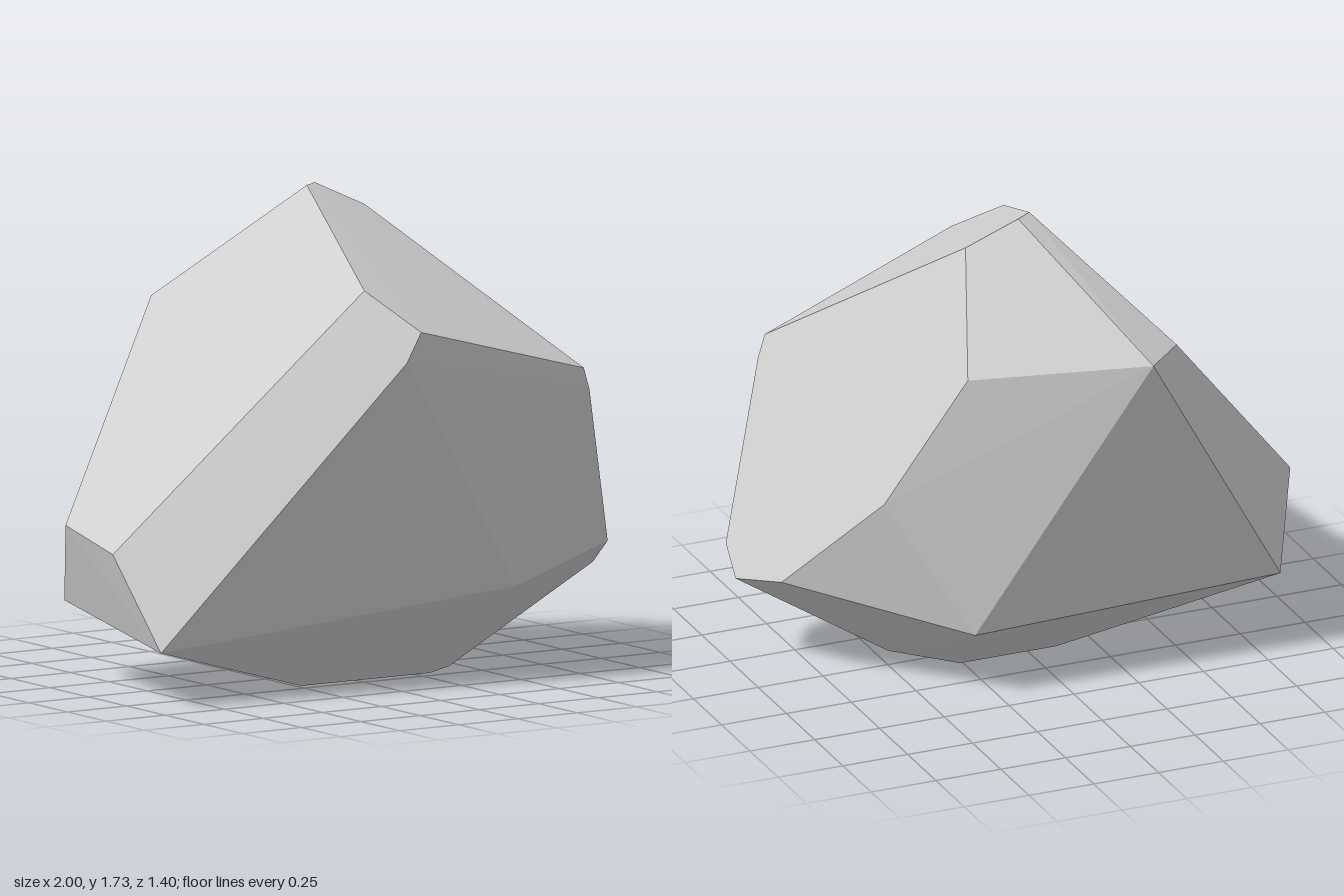
import * as THREE from 'three';
import { ConvexGeometry } from 'three/addons/geometries/ConvexGeometry.js';

// Corners of the faceted boulder, listed ring by ring
const corners = [
  // peak
  [0.02, 1.725, -0.15], [0.08, 1.725, -0.19], [0.27, 1.635, -0.16],
  // shoulder
  [-0.17, 1.45, 0.515], [-0.05, 1.315, 0.70], [-0.11, 1.21, 0.70],
  [0.74, 1.10, 0.54], [0.77, 1.02, 0.53],
  [0.37, 1.24, -0.41], [-0.22, 1.31, -0.70], [-0.37, 1.31, -0.56],
  // waist
  [-1.00, 0.53, 0.16], [-0.965, 0.585, -0.20], [-0.84, 0.28, -0.40],
  [-0.94, 0.20, 0.38], [0.49, 0.335, 0.49], [0.99, 0.43, 0.31],
  [1.00, 0.34, 0.20], [0.91, 0.39, 0.00], [0.64, 0.76, -0.29], [0.35, 0.26, -0.43],
  // flat base
  [-0.23, 0, 0.20], [0.31, 0, 0.20], [0.45, 0, 0.11], [0.26, 0, -0.09], [-0.11, 0, -0.09],
];

export function createModel() {
  const stoneGrey = new THREE.MeshStandardMaterial({ color: 0xd1d1d1 });
  stoneGrey.name = 'stone grey';
  stoneGrey.flatShading = true;

  // A convex hull gives the flat cut facets
  const points = corners.map((c) => new THREE.Vector3(...c));
  const boulder = new THREE.Mesh(new ConvexGeometry(points), stoneGrey);
  boulder.name = 'boulder';

  const model = new THREE.Group();
  model.name = 'rock';
  model.add(boulder);
  return model;
}
